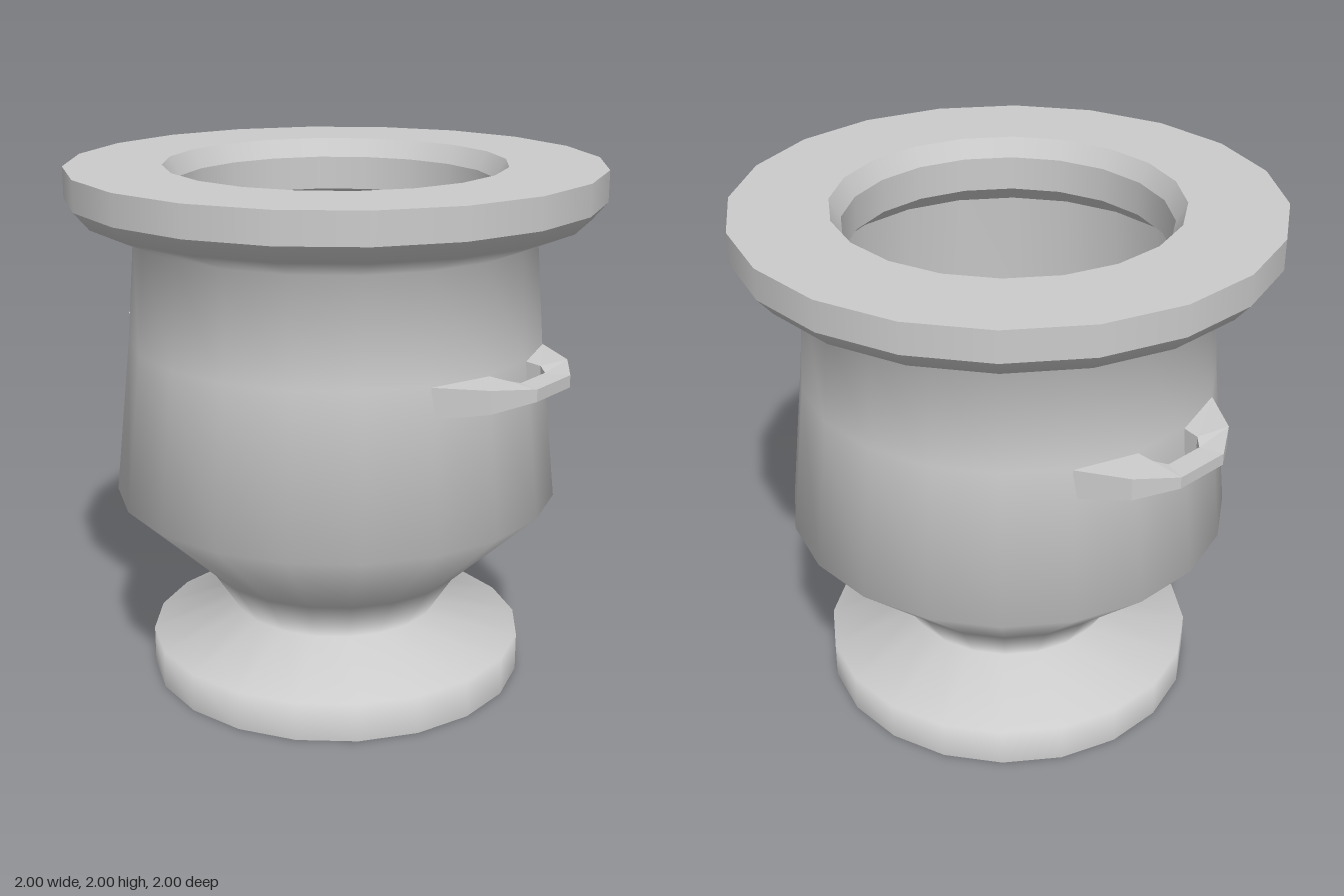
import * as THREE from 'three';

const SIDES = 20;

// Each run of [radius, y] points is smooth; runs meet in sharp edges
function turned(name, runs) {
  const group = new THREE.Group();
  group.name = name;
  const material = new THREE.MeshStandardMaterial({ color: 0xcccccc });
  for (const run of runs) {
    const points = run.map(([r, y]) => new THREE.Vector2(r, y));
    const mesh = new THREE.Mesh(new THREE.LatheGeometry(points, SIDES), material);
    mesh.name = name + 'Surface';
    group.add(mesh);
  }
  return group;
}

// Bracket handle swept through four-cornered sections, x outwards, z along the wall
function handleGeometry() {
  // outer [x, z], inner [x, z], bottom, top
  const half = [
    [0.70, 0.36, 0.77, 0.12, 1.23, 1.345],
    [0.87, 0.25, 0.84, 0.115, 1.255, 1.34],
    [0.965, 0.11, 0.88, 0.08, 1.285, 1.33],
  ];
  const mirrored = half.map(([ox, oz, ix, iz, b, t]) => [ox, -oz, ix, -iz, b, t]).reverse();
  const sections = [...half, ...mirrored];
  const positions = [];
  const index = [];
  sections.forEach(([ox, oz, ix, iz, b, t], s) => {
    positions.push(ox, b, oz, ox, t, oz, ix, t, iz, ix, b, iz);
    if (s === 0) return;
    for (let k = 0; k < 4; k++) {
      const a = (s - 1) * 4 + k, c = (s - 1) * 4 + (k + 1) % 4;
      index.push(a, a + 4, c, c, a + 4, c + 4);
    }
  });
  // end caps against the wall
  const e = (sections.length - 1) * 4;
  index.push(0, 1, 2, 0, 2, 3, e, e + 2, e + 1, e, e + 3, e + 2);
  const geometry = new THREE.BufferGeometry();
  geometry.setAttribute('position', new THREE.Float32BufferAttribute(positions, 3));
  geometry.setIndex(index);
  const flat = geometry.toNonIndexed();
  flat.computeVertexNormals();
  return flat;
}

export function createModel() {
  const model = new THREE.Group();
  model.name = 'urn';

  // Foot, neck, belly and flared underside of the rim
  model.add(turned('body', [
    [[0, 0], [0.73, 0]],
    [[0.73, 0], [0.73, 0.15], [0.4, 0.26], [0.51, 0.43], [0.85, 0.75],
      [0.785, 1.35], [0.755, 1.74], [0.945, 1.82], [1, 1.885]],
  ]));

  // Rim band, flat top and bevelled mouth
  model.add(turned('rim', [
    [[1, 1.885], [1, 2]],
    [[1, 2], [0.64, 2]],
    [[0.64, 2], [0.6, 1.93]],
    [[0.6, 1.93], [0.6, 1.8]],
  ]));

  // Hollow interior, widening below the mouth, with a flat floor
  model.add(turned('interior', [
    [[0.6, 1.8], [0.7, 1.72]],
    [[0.7, 1.72], [0.73, 1.35], [0.77, 0.8], [0.3, 0.5]],
    [[0.3, 0.5], [0, 0.5]],
  ]));

  // Two handles on opposite sides, turned half a facet
  const geometry = handleGeometry();
  const material = new THREE.MeshStandardMaterial({ color: 0xcccccc, flatShading: true });
  ['leftHandle', 'rightHandle'].forEach((name, i) => {
    const handle = new THREE.Mesh(geometry, material);
    handle.name = name;
    handle.rotation.y = Math.PI / SIDES + i * Math.PI;
    model.add(handle);
  });

  return model;
}
